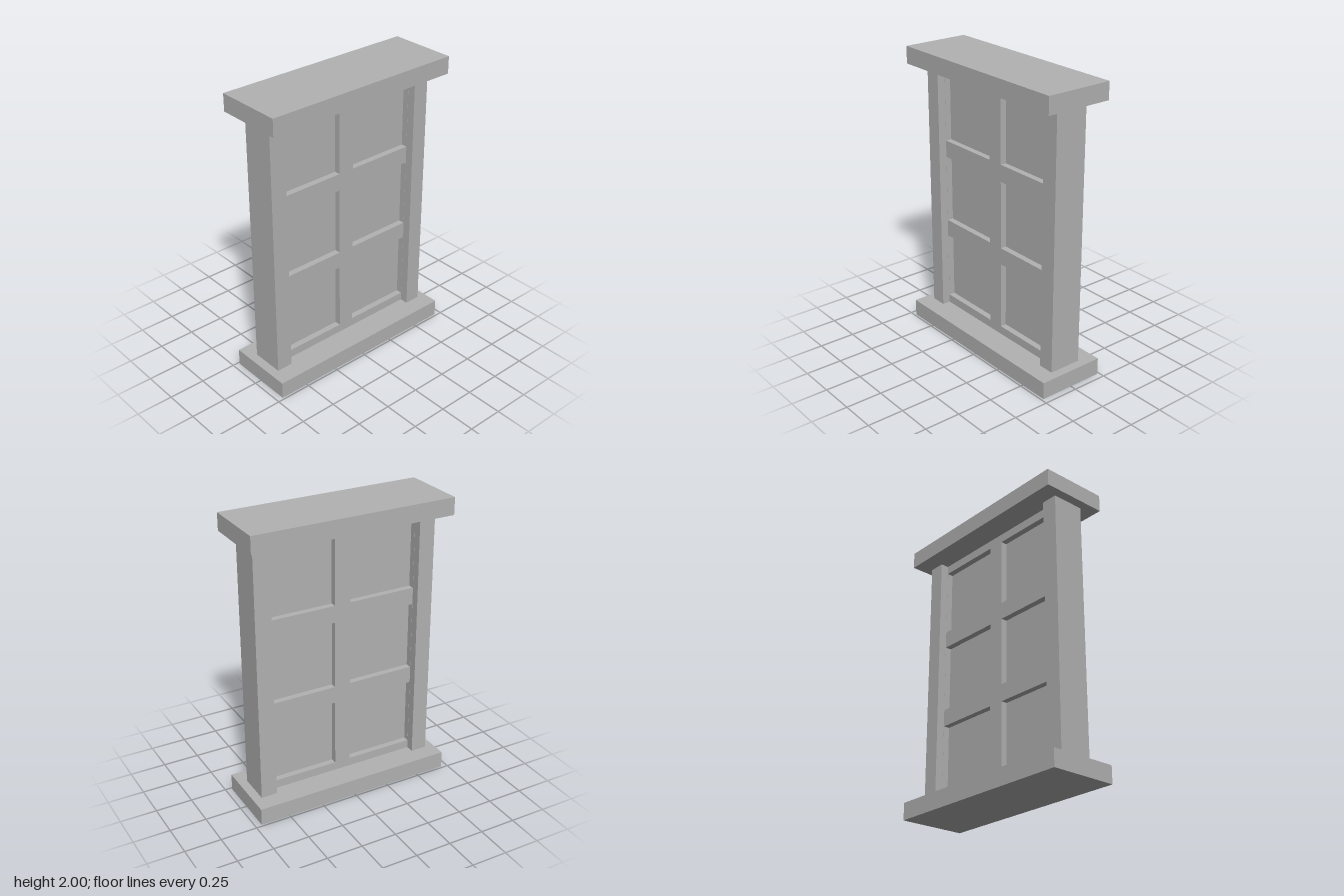
import * as THREE from 'three';

export function createModel() {
  const model = new THREE.Group();
  model.name = 'window';
  const stone = new THREE.MeshStandardMaterial({ color: 0xb2b2b2 });
  stone.name = 'plain grey';

  function add(name, geometry, x, y, z) {
    const mesh = new THREE.Mesh(geometry, stone);
    mesh.name = name;
    mesh.position.set(x, y, z);
    model.add(mesh);
  }

  // Sill and lintel slabs
  const slabHeight = 0.118;
  add('sill', new THREE.BoxGeometry(1.412, slabHeight, 0.47), 0, slabHeight / 2, 0);
  add('lintel', new THREE.BoxGeometry(1.412, slabHeight, 0.47), 0, 2 - slabHeight / 2, 0);

  // Side posts
  const postHeight = 2 - 2 * slabHeight;
  for (const side of [-1, 1]) {
    add(side > 0 ? 'leftPost' : 'rightPost',
      new THREE.BoxGeometry(0.112, postHeight, 0.23), side * 0.588, 1, 0);
  }

  // Lattice of glazing bars with six openings
  const halfWidth = 0.532, bottom = slabHeight, top = 2 - slabHeight;
  const lattice = new THREE.Shape([
    new THREE.Vector2(-halfWidth, bottom), new THREE.Vector2(halfWidth, bottom),
    new THREE.Vector2(halfWidth, top), new THREE.Vector2(-halfWidth, top),
  ]);
  // Openings run right up to the posts
  const edge = halfWidth - 0.001;
  for (const [x0, x1] of [[-edge, -0.057], [0.057, edge]]) {
    for (let row = 0; row < 3; row++) {
      const y0 = 0.177 + row * 0.588, y1 = y0 + 0.47;
      lattice.holes.push(new THREE.Path([
        new THREE.Vector2(x0, y0), new THREE.Vector2(x0, y1),
        new THREE.Vector2(x1, y1), new THREE.Vector2(x1, y0),
      ]));
    }
  }
  const barDepth = 0.116;
  add('glazingBars', new THREE.ExtrudeGeometry(lattice, { depth: barDepth, bevelEnabled: false }),
    0, 0, -barDepth / 2);

  // Pane behind the bars
  add('pane', new THREE.BoxGeometry(2 * halfWidth, postHeight, 0.03), 0, 1, 0);

  return model;
}
